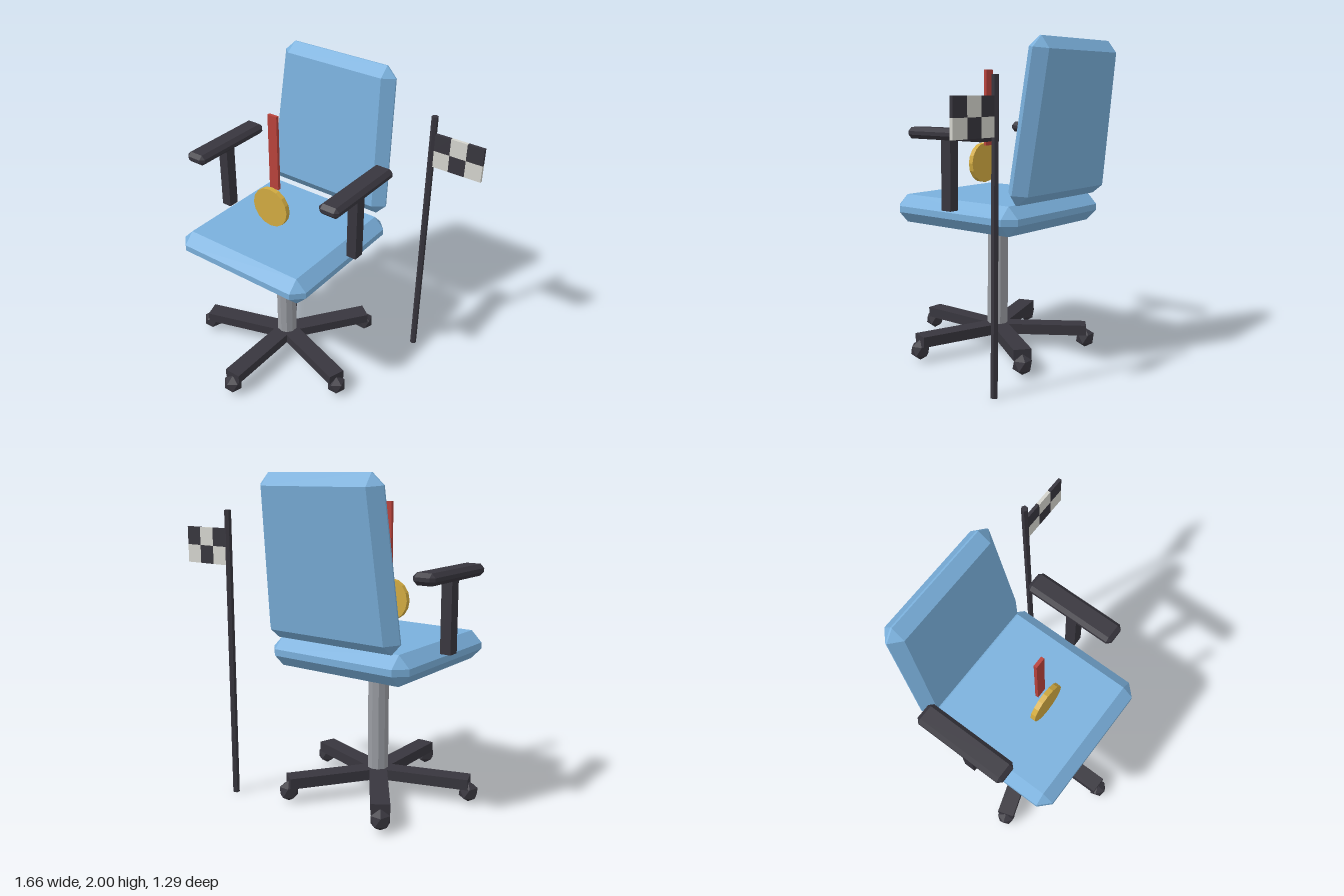
import * as THREE from 'three';
import { ConvexGeometry } from 'three/addons/geometries/ConvexGeometry.js';

const CX = -0.222, CZ = 0.005; // chair axis

function paint(name, color) {
  const m = new THREE.MeshStandardMaterial({ color, flatShading: true });
  m.name = name;
  return m;
}

// Box with flat bevels on every edge and corner; taper narrows x towards the top
function bevelBox(hx, hy, hz, b, taper = 0) {
  const points = [];
  for (const sx of [-1, 1]) for (const sy of [-1, 1]) for (const sz of [-1, 1]) {
    for (const axis of [0, 1, 2]) {
      const h = [hx, hy, hz].map((v, i) => (i === axis ? v : v - b));
      const y = sy * h[1];
      points.push(new THREE.Vector3(sx * (h[0] - taper * y), y, sz * h[2]));
    }
  }
  return new ConvexGeometry(points);
}

export function createModel() {
  const model = new THREE.Group();
  model.name = 'officeChairWithFlag';
  const blue = paint('blueUpholstery', 0x7ab0dc);
  const dark = paint('darkPlastic', 0x38363e);
  const grey = paint('greyMetal', 0x9a9da3);
  const gold = paint('gold', 0xd2ab41);
  const red = paint('red', 0xb8423b);
  const white = paint('offWhite', 0xd4d4cd);

  const add = (name, geometry, material, x, y, z, parent = model) => {
    const mesh = new THREE.Mesh(geometry, material);
    mesh.name = name;
    mesh.position.set(x, y, z);
    parent.add(mesh);
    return mesh;
  };

  // Seat, reclined backrest and column
  add('seat', bevelBox(0.488, 0.09, 0.488, 0.07), blue, CX, 0.94, CZ);
  const back = add('backrest', bevelBox(0.442, 0.486, 0.071, 0.066, 0.052), blue, CX, 1.518, -0.519);
  back.rotation.x = -0.126;
  add('column', new THREE.CylinderGeometry(0.067, 0.067, 0.74, 10), grey, CX, 0.49, CZ);

  // Five-legged base with faceted casters
  const legGeo = new THREE.BoxGeometry(0.112, 0.067, 0.585);
  const casterGeo = new THREE.IcosahedronGeometry(0.065, 0);
  casterGeo.rotateX(-Math.atan((1 + Math.sqrt(5)) / 2)); // a corner points up
  for (let i = 0; i < 5; i++) {
    const spoke = new THREE.Group();
    spoke.name = 'baseSpoke';
    spoke.position.set(CX, 0, CZ);
    spoke.rotation.y = (i * Math.PI * 2) / 5;
    add('baseLeg', legGeo, dark, 0, 0.131, 0.2925, spoke);
    add('caster', casterGeo, dark, 0, 0.07, 0.582, spoke);
    model.add(spoke);
  }

  // Armrests
  for (const [side, s] of [['left', 1], ['right', -1]]) {
    const x = CX + s * 0.513;
    add(side + 'ArmPost', new THREE.BoxGeometry(0.068, 0.44, 0.074), dark, x, 1.2, -0.039);
    add(side + 'ArmPad', bevelBox(0.07, 0.035, 0.302, 0.024), dark, x, 1.44, -0.043);
  }

  // Medal and its ribbon
  const medal = new THREE.CylinderGeometry(0.13, 0.13, 0.032, 16);
  medal.rotateX(Math.PI / 2);
  add('medal', medal, gold, CX, 1.225, 0.13);
  add('ribbon', new THREE.BoxGeometry(0.066, 0.488, 0.02), red, CX, 1.584, 0.09);

  // Flag pole and chequered flag
  add('flagPole', new THREE.CylinderGeometry(0.021, 0.021, 1.78, 6), dark, 0.49, 0.89, -0.553);
  const w = 0.1093, h = 0.11;
  const cell = new THREE.BoxGeometry(w, h, 0.02);
  for (let row = 0; row < 2; row++) for (let col = 0; col < 3; col++) {
    add('flagSquare', cell, (row + col) % 2 ? white : dark,
      0.505 + (col + 0.5) * w, 1.67 - (row + 0.5) * h, -0.553);
  }
  return model;
}
